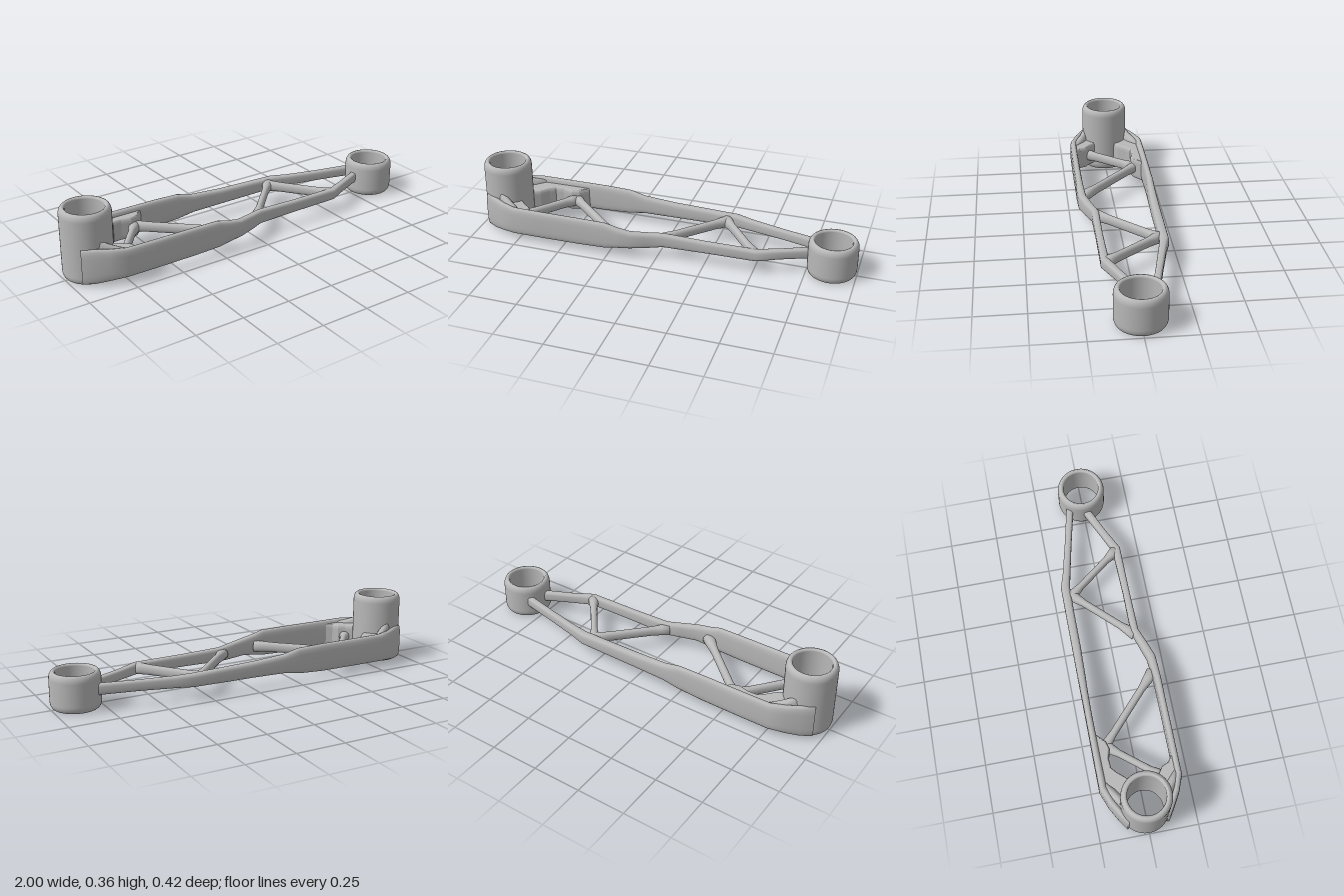
import * as THREE from 'three';

const metal = new THREE.MeshStandardMaterial({ color: 0xb8b8b8 });
metal.name = 'castGrey';

function addMesh(group, name, geometry) {
  const mesh = new THREE.Mesh(geometry, metal);
  mesh.name = name;
  group.add(mesh);
}

// Open sleeve with softly rounded rims
function collar(x, height) {
  const outer = 0.125, inner = 0.094, r = 0.036, lip = 0.012;
  const pts = [];
  const arc = (cx, cy, rx, ry, a0, a1) => {
    for (let i = 0; i <= 6; i++) {
      const a = a0 + (a1 - a0) * i / 6;
      pts.push(new THREE.Vector2(cx + rx * Math.cos(a), cy + ry * Math.sin(a)));
    }
  };
  const q = Math.PI / 2;
  pts.push(new THREE.Vector2(outer, height / 2));
  arc(outer - 0.02, height - r, 0.02, r, 0, q);
  arc(inner + lip, height - lip, lip, lip, q, 2 * q);
  arc(inner + lip, lip, lip, lip, 2 * q, 3 * q);
  arc(outer - 0.02, r, 0.02, r, 3 * q, 4 * q);
  pts.push(new THREE.Vector2(outer, height / 2));
  return new THREE.LatheGeometry(pts, 56).translate(x, 0, 0);
}

// Beam along stations [x, z, width, bottom, top] with rounded, mitred sections
function beam(stations, power) {
  const sides = 20, pos = [], idx = [];
  const last = stations.length - 1;
  const dir = (a, b) => new THREE.Vector2(b[0] - a[0], b[1] - a[1]).normalize();
  stations.forEach((s, i) => {
    const d0 = dir(stations[Math.max(i - 1, 0)], stations[Math.max(i, 1)]);
    const d1 = dir(stations[Math.min(i, last - 1)], stations[Math.min(i + 1, last)]);
    const t = d0.clone().add(d1).normalize();
    const half = s[2] / 2 / Math.max(0.5, t.dot(d0));
    const mid = (s[3] + s[4]) / 2, rise = (s[4] - s[3]) / 2;
    for (let k = 0; k < sides; k++) {
      const a = k / sides * Math.PI * 2, c = Math.cos(a), n = Math.sin(a);
      const u = Math.sign(c) * Math.abs(c) ** (2 / power) * half;
      const v = Math.sign(n) * Math.abs(n) ** (2 / power) * rise;
      pos.push(s[0] - t.y * u, mid + v, s[1] + t.x * u);
    }
  });
  for (let i = 0; i < last; i++) {
    for (let k = 0; k < sides; k++) {
      const a = i * sides + k, b = i * sides + (k + 1) % sides;
      idx.push(a, a + sides, b, b, a + sides, b + sides);
    }
  }
  // End caps
  for (const i of [0, last]) {
    const s = stations[i], centre = pos.length / 3;
    pos.push(s[0], (s[3] + s[4]) / 2, s[1]);
    for (let k = 0; k < sides; k++) {
      const a = i * sides + k, b = i * sides + (k + 1) % sides;
      if (i === 0) idx.push(centre, a, b);
      else idx.push(centre, b, a);
    }
  }
  const g = new THREE.BufferGeometry();
  g.setAttribute('position', new THREE.Float32BufferAttribute(pos, 3));
  g.setIndex(idx);
  g.computeVertexNormals();
  return g;
}

// Solid gusset between the tall collar wall and a rail
function gusset(startDeg, endDeg, outline, bottom, top) {
  const pts = [];
  for (let i = 0; i <= 8; i++) {
    const a = THREE.MathUtils.degToRad(startDeg + (endDeg - startDeg) * i / 8);
    pts.push(new THREE.Vector2(-0.875 + 0.114 * Math.cos(a), 0.114 * Math.sin(a)));
  }
  outline.forEach(p => pts.push(new THREE.Vector2(p[0], p[1])));
  const bevel = 0.025;
  const g = new THREE.ExtrudeGeometry(new THREE.Shape(pts), {
    depth: top - bottom - 2 * bevel, bevelEnabled: true, bevelSize: 0.01,
    bevelThickness: bevel, bevelSegments: 4,
  });
  return g.rotateX(Math.PI / 2).translate(0, top - bevel, 0);
}

export function createModel() {
  const group = new THREE.Group();
  group.name = 'trussArm';

  addMesh(group, 'tallCollar', collar(-0.875, 0.36));
  addMesh(group, 'shortCollar', collar(0.875, 0.186));

  // Side rails: tall plates near the tall collar, thinning to rods
  addMesh(group, 'frontRail', beam([
    [-0.955, 0.095, 0.03, 0.01, 0.19], [-0.9, 0.126, 0.036, 0.012, 0.19],
    [-0.84, 0.16, 0.036, 0.025, 0.187], [-0.765, 0.189, 0.036, 0.036, 0.185],
    [-0.6, 0.19, 0.036, 0.036, 0.184], [-0.4, 0.19, 0.036, 0.037, 0.184],
    [-0.26, 0.19, 0.038, 0.042, 0.182], [-0.2, 0.188, 0.042, 0.052, 0.165],
    [-0.13, 0.184, 0.046, 0.06, 0.152], [-0.05, 0.158, 0.044, 0.062, 0.145],
    [0.03, 0.13, 0.04, 0.066, 0.14], [0.25, 0.129, 0.036, 0.07, 0.134],
    [0.51, 0.126, 0.042, 0.072, 0.132], [0.62, 0.075, 0.038, 0.073, 0.126],
    [0.775, 0.005, 0.04, 0.07, 0.126],
  ], 3.2));
  addMesh(group, 'backRail', beam([
    [-0.955, -0.095, 0.03, 0.01, 0.19], [-0.9, -0.128, 0.036, 0.012, 0.19],
    [-0.84, -0.162, 0.038, 0.025, 0.187], [-0.765, -0.19, 0.04, 0.036, 0.185],
    [-0.6, -0.191, 0.038, 0.036, 0.184], [-0.4, -0.191, 0.036, 0.037, 0.184],
    [-0.26, -0.19, 0.038, 0.045, 0.18], [-0.17, -0.188, 0.042, 0.06, 0.158],
    [0, -0.185, 0.046, 0.064, 0.146], [0.2, -0.184, 0.046, 0.066, 0.14],
    [0.34, -0.182, 0.048, 0.068, 0.136], [0.42, -0.162, 0.04, 0.07, 0.13],
    [0.6, -0.121, 0.036, 0.072, 0.126], [0.79, -0.078, 0.038, 0.07, 0.126],
  ], 3.2));

  // Diagonal struts, flared where they meet the rails
  const struts = {
    collarStrut: [-0.55, -0.13, -0.745, 0.11, 0.036],
    longStrut: [-0.57, -0.16, -0.205, 0.175, 0.038],
    middleStrut: [0.015, 0.128, 0.3, -0.165, 0.036],
    outerStrut: [0.285, -0.165, 0.505, 0.12, 0.036],
  };
  for (const [name, [x0, z0, x1, z1, w]] of Object.entries(struts)) {
    const stations = [0, 0.1, 0.22, 0.5, 0.78, 0.9, 1].map(t => {
      const flare = Math.max(0, Math.abs(t - 0.5) - 0.28) / 0.22;
      const h = 0.026 + 0.003 * flare;
      return [x0 + (x1 - x0) * t, z0 + (z1 - z0) * t, w * (1 + 0.7 * flare), 0.103 - h, 0.103 + h];
    });
    addMesh(group, name, beam(stations, 2.3));
  }

  // Gussets filling the corners beside the tall collar
  addMesh(group, 'frontGusset', gusset(115, 35,
    [[-0.745, 0.105], [-0.715, 0.125], [-0.7, 0.16], [-0.66, 0.18], [-0.77, 0.18], [-0.85, 0.145]],
    0.04, 0.165));
  addMesh(group, 'backGusset', gusset(-115, -25,
    [[-0.735, -0.075], [-0.7, -0.115], [-0.67, -0.14], [-0.62, -0.143], [-0.57, -0.13],
      [-0.535, -0.14], [-0.49, -0.178], [-0.77, -0.18], [-0.85, -0.145]],
    0.045, 0.16));

  // Sloped fillets blending the collar wall down onto the gussets
  for (const side of [1, -1]) {
    addMesh(group, side > 0 ? 'frontFillet' : 'backFillet', beam([
      [-0.875, side * 0.114, 0.022, 0.03, 0.225], [-0.83, side * 0.128, 0.055, 0.03, 0.2],
      [-0.79, side * 0.155, 0.06, 0.035, 0.184], [-0.74, side * 0.182, 0.03, 0.05, 0.17],
    ], 2.4));
  }
  return group;
}
